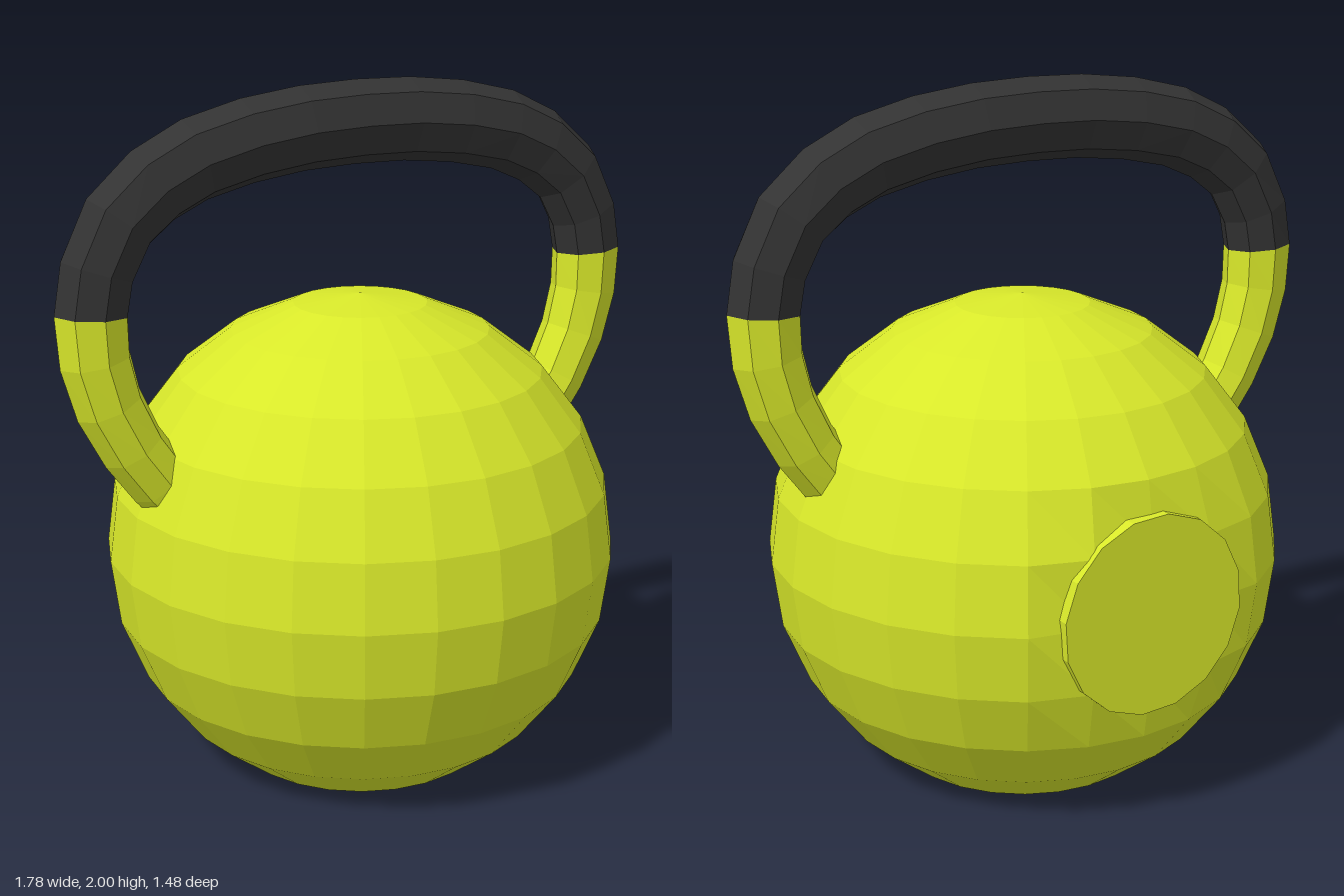
import * as THREE from 'three';

const TURN = Math.PI / 12; // handle and plate are turned about the vertical axis
const CENTRE = new THREE.Vector3(0.02, 0.645, 0);
const RADIUS = 0.745;

const yellow = new THREE.MeshStandardMaterial({ color: 0xd8e82a, flatShading: true });
const black = new THREE.MeshStandardMaterial({ color: 0x333333, flatShading: true });

function addMesh(parent, name, geometry, material) {
  const mesh = new THREE.Mesh(geometry, material);
  mesh.name = name;
  parent.add(mesh);
  return mesh;
}

// Half of the handle's centre line: [distance along handle, height, radial thickness]
const half = [
  [0.56, 0.86, 0.088], [0.635, 0.945, 0.09], [0.71, 1.05, 0.093], [0.775, 1.18, 0.098],
  [0.81, 1.31, 0.102], [0.816, 1.435, 0.106], [0.795, 1.55, 0.108], [0.73, 1.675, 0.112],
  [0.625, 1.762, 0.115], [0.5, 1.82, 0.117], [0.34, 1.857, 0.118], [0.17, 1.877, 0.118],
];
const GRIP_START = 5;
const path = [
  ...half.map(([u, y, r]) => [-u, y, r]),
  [0, 1.882, 0.118],
  ...half.slice().reverse(),
];

// Eight-sided oval tube through path rows first..last
function handlePart(first, last) {
  const sides = 8, positions = [], index = [];
  for (let i = first; i <= last; i++) {
    const [u, y, r] = path[i];
    const a = path[Math.max(i - 1, 0)], b = path[Math.min(i + 1, path.length - 1)];
    const t = new THREE.Vector2(b[0] - a[0], b[1] - a[1]).normalize();
    for (let j = 0; j < sides; j++) {
      const angle = (j / sides) * Math.PI * 2;
      const n = Math.cos(angle) * r;
      positions.push(u - t.y * n, y + t.x * n, Math.sin(angle) * 0.094);
    }
  }
  for (let i = 0; i < last - first; i++) {
    for (let j = 0; j < sides; j++) {
      const p = i * sides + j, q = i * sides + (j + 1) % sides;
      index.push(p, q, p + sides, q, q + sides, p + sides);
    }
  }
  const geometry = new THREE.BufferGeometry();
  geometry.setAttribute('position', new THREE.Float32BufferAttribute(positions, 3));
  geometry.setIndex(index);
  geometry.computeVertexNormals();
  return geometry;
}

export function createModel() {
  const model = new THREE.Group();
  model.name = 'kettlebell';

  // Ball, cut off below and pressed flat behind the plate
  const plateNormal = new THREE.Vector3(Math.sin(TURN), 0, -Math.cos(TURN));
  const ball = new THREE.SphereGeometry(RADIUS, 24, 10, 0, Math.PI * 2, 0, Math.PI * 5 / 6);
  const pos = ball.attributes.position, v = new THREE.Vector3();
  for (let i = 0; i < pos.count; i++) {
    v.fromBufferAttribute(pos, i);
    const over = v.dot(plateNormal) - 0.675;
    if (over > 0) v.addScaledVector(plateNormal, -over);
    pos.setXYZ(i, v.x, v.y, v.z);
  }
  ball.computeVertexNormals();
  addMesh(model, 'ball', ball, yellow).position.copy(CENTRE);

  // Flat foot
  const foot = addMesh(model, 'foot', new THREE.CircleGeometry(RADIUS / 2, 24), yellow);
  foot.rotation.x = Math.PI / 2;
  foot.position.set(CENTRE.x, 0, 0);

  // Round blank plate on the back
  const plate = addMesh(model, 'backPlate', new THREE.CylinderGeometry(0.285, 0.285, 0.06, 16), yellow);
  plate.quaternion.setFromUnitVectors(new THREE.Vector3(0, 1, 0), plateNormal);
  plate.position.copy(CENTRE).addScaledVector(plateNormal, 0.657);

  // Handle: two arms rising from the ball and a dark grip
  const handle = new THREE.Group();
  handle.name = 'handle';
  handle.rotation.y = -TURN;
  const end = path.length - 1;
  addMesh(handle, 'rightArm', handlePart(0, GRIP_START), yellow);
  addMesh(handle, 'grip', handlePart(GRIP_START, end - GRIP_START), black);
  addMesh(handle, 'leftArm', handlePart(end - GRIP_START, end), yellow);
  model.add(handle);

  return model;
}
